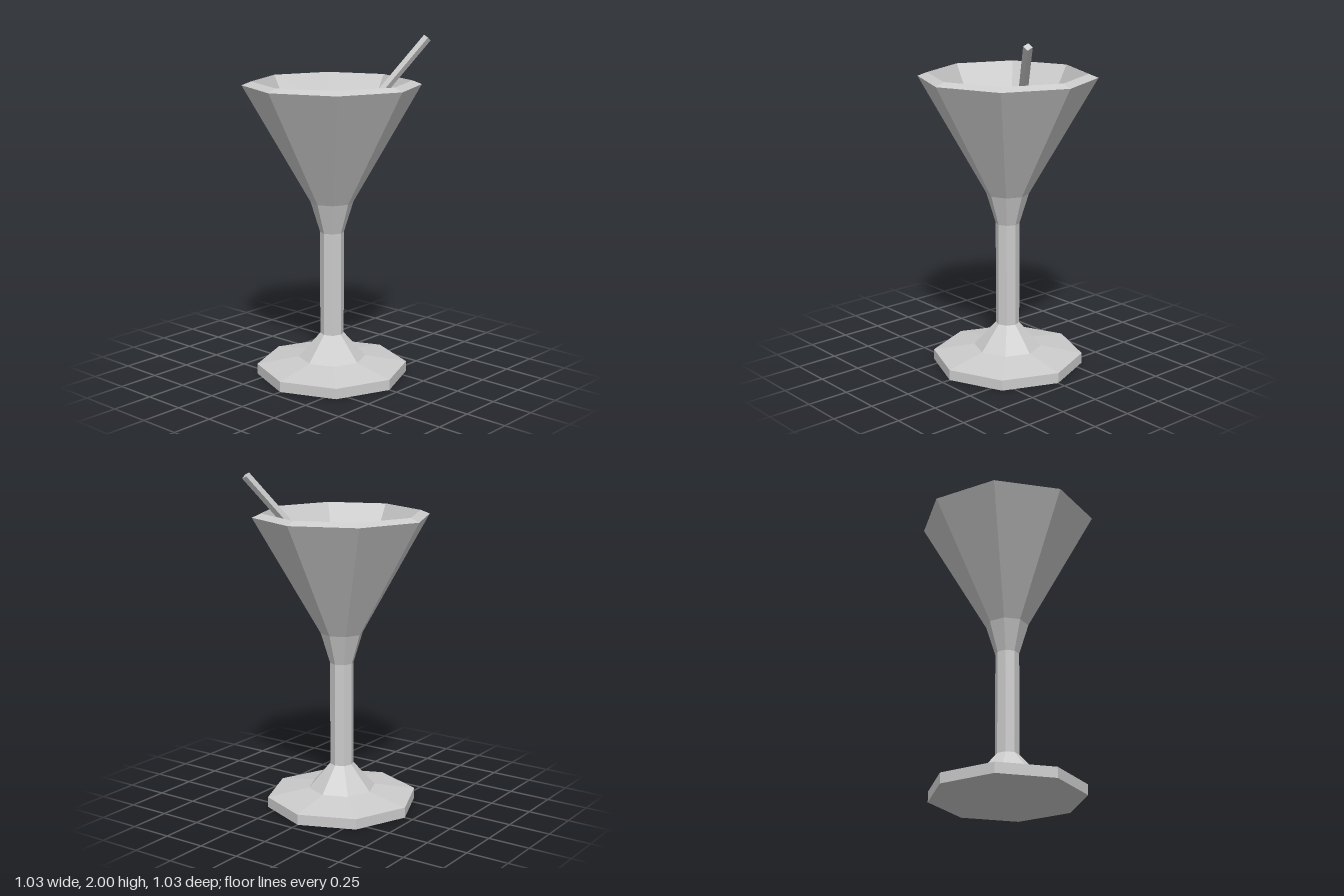
import * as THREE from 'three';

const SIDES = 8;
const material = () => new THREE.MeshStandardMaterial({ color: 0xcccccc, flatShading: true });

function add(group, name, geometry) {
  const mesh = new THREE.Mesh(geometry, material());
  mesh.name = name;
  group.add(mesh);
  return mesh;
}

// Eight-sided turned part from [radius, height] pairs
const turned = (profile) =>
  new THREE.LatheGeometry(profile.map(([r, y]) => new THREE.Vector2(r, y)), SIDES);

export function createModel() {
  const group = new THREE.Group();
  group.name = 'cocktailGlass';

  // Foot, flaring up to the stem
  add(group, 'foot', turned([[0, 0], [0.447, 0], [0.447, 0.062], [0.2, 0.106], [0.07, 0.252]]));

  // Straight stem
  add(group, 'stem', turned([[0.07, 0.252], [0.07, 0.87]]));

  // Bowl: outer wall, bevelled rim, inner wall down to the drink
  add(group, 'bowl', turned([
    [0.07, 0.87], [0.125, 1.05], [0.517, 1.735], [0.462, 1.757], [0.36, 1.57],
  ]));

  // Flat surface of the drink
  add(group, 'drink', turned([[0.36, 1.57], [0, 1.57]]));

  // Olive threaded on a slanted square pick
  const oliveCentre = new THREE.Vector3(0.08, 1.57, -0.205);
  const pickTip = new THREE.Vector3(0.295, 1.988, -0.5);
  const direction = pickTip.clone().sub(oliveCentre);
  const length = direction.length();

  const garnish = new THREE.Group();
  garnish.name = 'garnish';
  garnish.position.copy(oliveCentre);
  garnish.quaternion.setFromUnitVectors(new THREE.Vector3(0, 1, 0), direction.normalize());
  group.add(garnish);

  const olive = add(garnish, 'olive', new THREE.SphereGeometry(0.135, SIDES, 5));
  olive.scale.y = 0.9;

  const pick = add(garnish, 'pick', new THREE.BoxGeometry(0.036, length, 0.036));
  pick.position.y = length / 2;

  return group;
}
